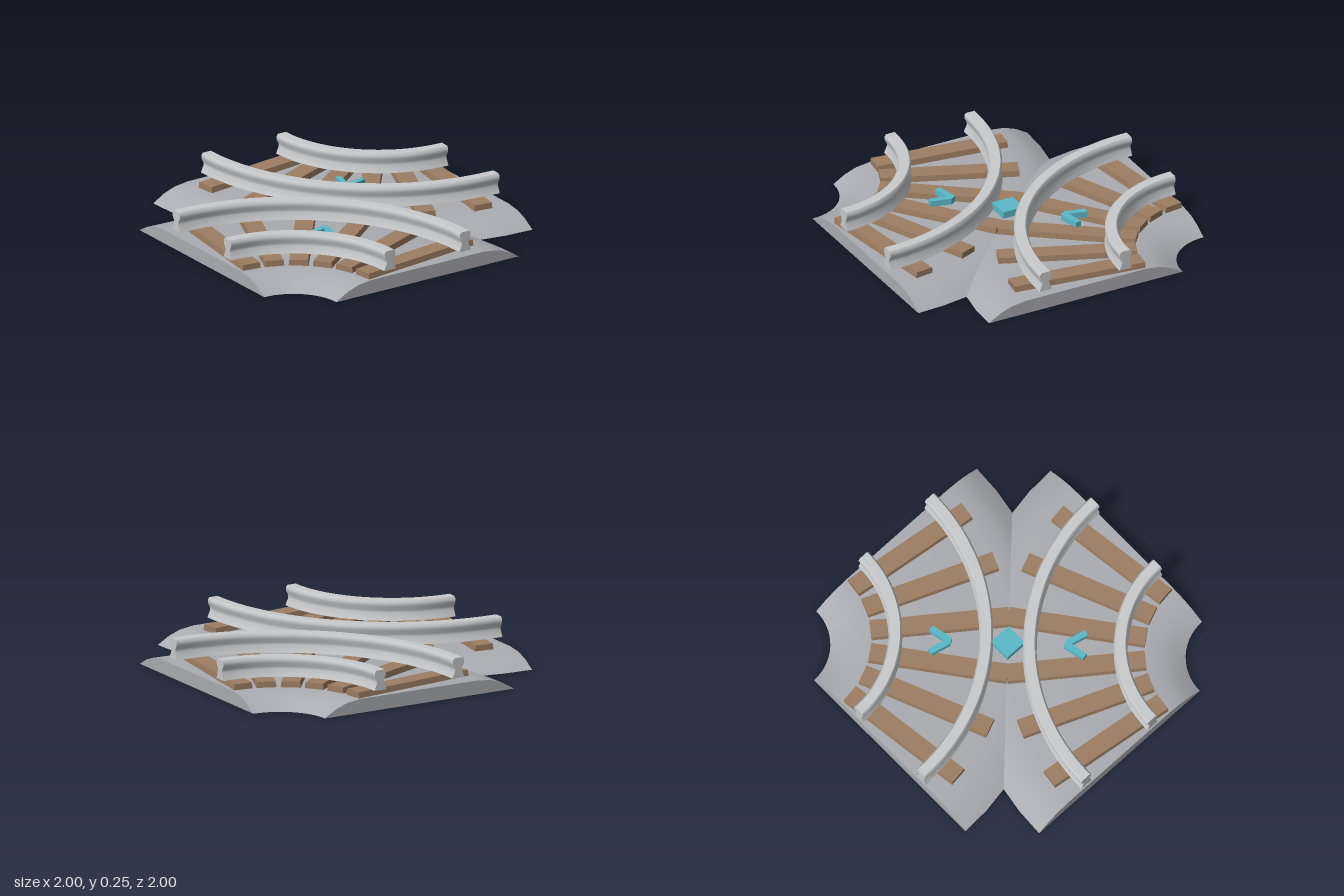
import * as THREE from 'three';
import { mergeGeometries, toCreasedNormals } from 'three/addons/utils/BufferGeometryUtils.js';

function material(name, color) {
  const m = new THREE.MeshStandardMaterial({ color });
  m.name = name;
  return m;
}

// Sweeps a closed counterclockwise (radius, height) profile through a quarter turn, with end caps
function quarterSweep(profile, segments) {
  const pts = profile.map(([r, y]) => new THREE.Vector2(r, y));
  const body = new THREE.LatheGeometry([...pts, pts[0]], segments, Math.PI / 2, Math.PI / 2);
  const startCap = new THREE.ShapeGeometry(new THREE.Shape(pts));
  const mirrored = pts.map((p) => new THREE.Vector2(-p.x, p.y));
  const endCap = new THREE.ShapeGeometry(new THREE.Shape(mirrored)).rotateY(-Math.PI / 2);
  return toCreasedNormals(mergeGeometries([body, startCap, endCap]), 0.75);
}

// Beam with slightly tapered long sides
function sleeperGeometry(length, height, width) {
  const geo = new THREE.BoxGeometry(length, height, width);
  const pos = geo.attributes.position;
  for (let i = 0; i < pos.count; i++) {
    if (pos.getY(i) > 0) pos.setZ(i, pos.getZ(i) * 0.92);
  }
  geo.computeVertexNormals();
  return geo;
}

export function createModel() {
  const model = new THREE.Group();
  model.name = 'doubleCurveTrack';

  const gravel = material('gravel grey', 0xabacb1);
  const steel = material('rail steel', 0xc8cacc);
  const wood = material('sleeper brown', 0x9c7d62);
  const cyan = material('marker cyan', 0x5ab9c9);

  function add(parent, name, geometry, mat) {
    const mesh = new THREE.Mesh(geometry, mat);
    mesh.name = name;
    parent.add(mesh);
    return mesh;
  }

  // Bed: flat underneath, rounded shoulders on both sides
  const shoulder = [[0.68, 0], [0.6, 0.047], [0.52, 0.076], [0.42, 0.089]];
  const bedGeo = quarterSweep([
    [0.32, 0],
    ...shoulder.map(([d, y]) => [1 + d, y]),
    ...shoulder.slice(1).reverse().map(([d, y]) => [1 - d, y]),
  ], 14);

  // Rail: wide head, narrow waist, flared foot
  const side = [[0.043, 0.125], [0.04, 0.135], [0.023, 0.172], [0.025, 0.19],
    [0.039, 0.215], [0.041, 0.238], [0.03, 0.253]];
  const railGeo = (radius) => quarterSweep([
    ...side.map(([d, y]) => [radius + d, y]),
    ...side.slice().reverse().map(([d, y]) => [radius - d, y]),
  ], 32);
  const innerRailGeo = railGeo(0.72);
  const outerRailGeo = railGeo(1.28);

  const sleeperGeo = sleeperGeometry(0.86, 0.038, 0.125);

  // Chevron pointing at the crossing centre, drawn in (x, -z)
  const outline = [[-0.396, -0.262], [-0.39, -0.3], [-0.278, -0.278], [-0.305, -0.39],
    [-0.267, -0.396], [-0.235, -0.267], [-0.257, -0.23]];
  const chevronShape = new THREE.Shape(outline.map(([x, y]) => new THREE.Vector2(x, y)));
  const chevronGeo = new THREE.ExtrudeGeometry(chevronShape, { depth: 0.04, bevelEnabled: false })
    .rotateX(-Math.PI / 2).translate(0, 0.122, 0);

  // Two identical curves, half a turn apart
  for (let k = 0; k < 2; k++) {
    const half = new THREE.Group();
    half.name = k === 0 ? 'frontCurve' : 'backCurve';
    half.rotation.y = k * Math.PI;
    model.add(half);

    const curve = new THREE.Group();
    curve.name = 'curvedTrack';
    curve.position.set(-1, 0, 1);
    half.add(curve);

    add(curve, 'bed', bedGeo, gravel);
    add(curve, 'innerRail', innerRailGeo, steel);
    add(curve, 'outerRail', outerRailGeo, steel);

    for (let i = 0; i < 6; i++) {
      const a = THREE.MathUtils.degToRad(7.5 + 15 * i);
      const sleeper = add(curve, 'sleeper', sleeperGeo, wood);
      sleeper.position.set(Math.cos(a), 0.107, -Math.sin(a));
      sleeper.rotation.y = a;
    }
    add(half, 'directionChevron', chevronGeo, cyan);
  }

  // Square marker in the middle
  const marker = add(model, 'centreMarker', new THREE.BoxGeometry(0.145, 0.045, 0.145), cyan);
  marker.position.y = 0.142;

  return model;
}
